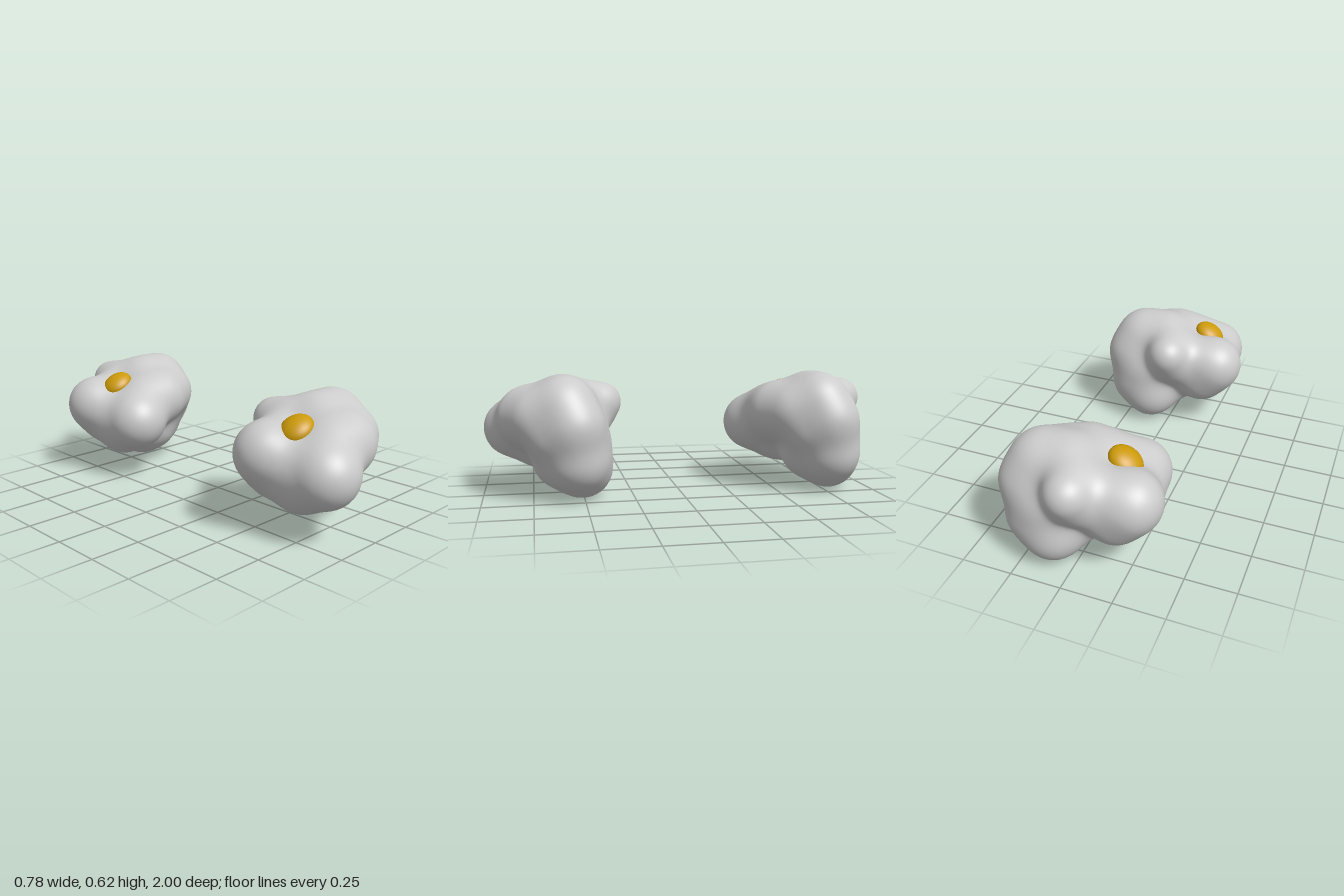
import * as THREE from 'three';
import { mergeVertices } from 'three/addons/utils/BufferGeometryUtils.js';

const v = (x, y, z) => new THREE.Vector3(x, y, z);
const BLEND = 0.03;

// Ball centres and radii for the lobes of the lump
const ball = (x, y, z, r) => ({ p: v(x, y, z), r, joints: 0 });
const balls = {
  core: ball(0, 0.35, 0, 0.15),
  backLeft: ball(-0.24, 0.375, -0.1, 0.15),
  backLow: ball(-0.17, 0.28, -0.1, 0.132),
  side: ball(-0.19, 0.31, 0.05, 0.138),
  frontLeft: ball(-0.175, 0.32, 0.197, 0.15),
  ridge: ball(-0.06, 0.385, 0.12, 0.148),
  ridgeEnd: ball(0.05, 0.405, 0.12, 0.145),
  frontRight: ball(0.16, 0.415, 0.07, 0.13),
  rightFront: ball(0.2, 0.32, 0, 0.118),
  topLeft: ball(0.07, 0.465, -0.05, 0.145),
  topRight: ball(0.195, 0.465, -0.06, 0.145),
  right: ball(0.24, 0.37, -0.1, 0.147),
  footSide: ball(0.215, 0.2, -0.12, 0.142),
  foot: ball(0.12, 0.148, -0.145, 0.147),
  footFront: ball(0.11, 0.19, -0.035, 0.13),
  back: ball(0.14, 0.29, -0.14, 0.137),
  belly: ball(-0.16, 0.245, 0.06, 0.135),
  humpBase: ball(-0.005, 0.45, -0.16, 0.12),
  humpLow: ball(-0.01, 0.4, -0.205, 0.1),
  hump: ball(-0.01, 0.468, -0.26, 0.09),
};

// Pairs of balls joined by tapered limbs
const limbs = [
  ['core', 'topLeft'], ['core', 'humpBase'], ['core', 'side'], ['core', 'back'],
  ['backLeft', 'humpBase'], ['backLeft', 'side'], ['backLeft', 'backLow'],
  ['backLow', 'belly'], ['backLow', 'humpLow'], ['side', 'frontLeft'],
  ['side', 'belly'], ['belly', 'frontLeft'], ['frontLeft', 'ridge'],
  ['ridge', 'ridgeEnd'], ['ridgeEnd', 'frontRight'], ['ridge', 'topLeft'],
  ['topLeft', 'topRight'], ['frontRight', 'topRight'], ['topRight', 'right'],
  ['right', 'footSide'], ['footSide', 'foot'], ['foot', 'back'], ['back', 'right'],
  ['frontRight', 'rightFront'], ['rightFront', 'right'], ['rightFront', 'footFront'],
  ['footFront', 'foot'], ['foot', 'belly'], ['humpBase', 'hump'], ['humpLow', 'hump'],
].map(([a, b]) => {
  balls[a].joints++;
  balls[b].joints++;
  return { a: balls[a], b: balls[b], ab: balls[b].p.clone().sub(balls[a].p) };
});

// Shared balls are made smaller, as blending several limbs swells them
const radius = (b) => b.r - BLEND * Math.log(b.joints);

// Smoothly blended distance to all limbs
function distance(p) {
  let sum = 0;
  for (const { a, b, ab } of limbs) {
    const t = THREE.MathUtils.clamp(p.clone().sub(a.p).dot(ab) / ab.lengthSq(), 0, 1);
    const d = p.distanceTo(a.p.clone().addScaledVector(ab, t));
    sum += Math.exp((THREE.MathUtils.lerp(radius(a), radius(b), t) - d) / BLEND);
  }
  return -BLEND * Math.log(sum);
}

// Fine ball whose vertices are drawn in to the blended surface
function lumpGeometry() {
  let geo = new THREE.IcosahedronGeometry(1, 24);
  geo.deleteAttribute('normal');
  geo.deleteAttribute('uv');
  geo = mergeVertices(geo, 1e-4);
  const pos = geo.attributes.position;
  const centre = v(0.02, 0.34, -0.02);
  for (let i = 0; i < pos.count; i++) {
    const dir = new THREE.Vector3().fromBufferAttribute(pos, i).normalize();
    let r = 0.7;
    for (let n = 0; n < 60; n++) {
      const d = distance(centre.clone().addScaledVector(dir, r));
      if (d < 0.0005) break;
      r -= d * 0.9;
    }
    const p = centre.clone().addScaledVector(dir, r);
    pos.setXYZ(i, p.x, p.y, p.z);
  }
  // Rest the lump on the ground
  geo.computeBoundingBox();
  geo.translate(0, -geo.boundingBox.min.y, 0);
  geo.computeVertexNormals();
  return geo;
}

export function createModel() {
  const model = new THREE.Group();
  const grey = new THREE.MeshStandardMaterial({ color: 0xcccccc });
  const gold = new THREE.MeshStandardMaterial({ color: 0xcc9a0a });
  const lumpGeo = lumpGeometry();

  // Flattened knob, leaning to the side
  const knobGeo = new THREE.SphereGeometry(1, 32, 20);
  knobGeo.scale(0.087, 0.054, 0.08);
  knobGeo.rotateZ(0.53);

  // Two identical lumps, one behind the other
  for (const [name, z] of [['frontLump', 0.65], ['backLump', -0.65]]) {
    const group = new THREE.Group();
    group.name = name;
    const body = new THREE.Mesh(lumpGeo, grey);
    body.name = 'body';
    const knob = new THREE.Mesh(knobGeo, gold);
    knob.name = 'goldKnob';
    knob.position.set(-0.173, 0.495, 0.02);
    group.add(body, knob);
    group.position.z = z;
    model.add(group);
  }
  return model;
}
